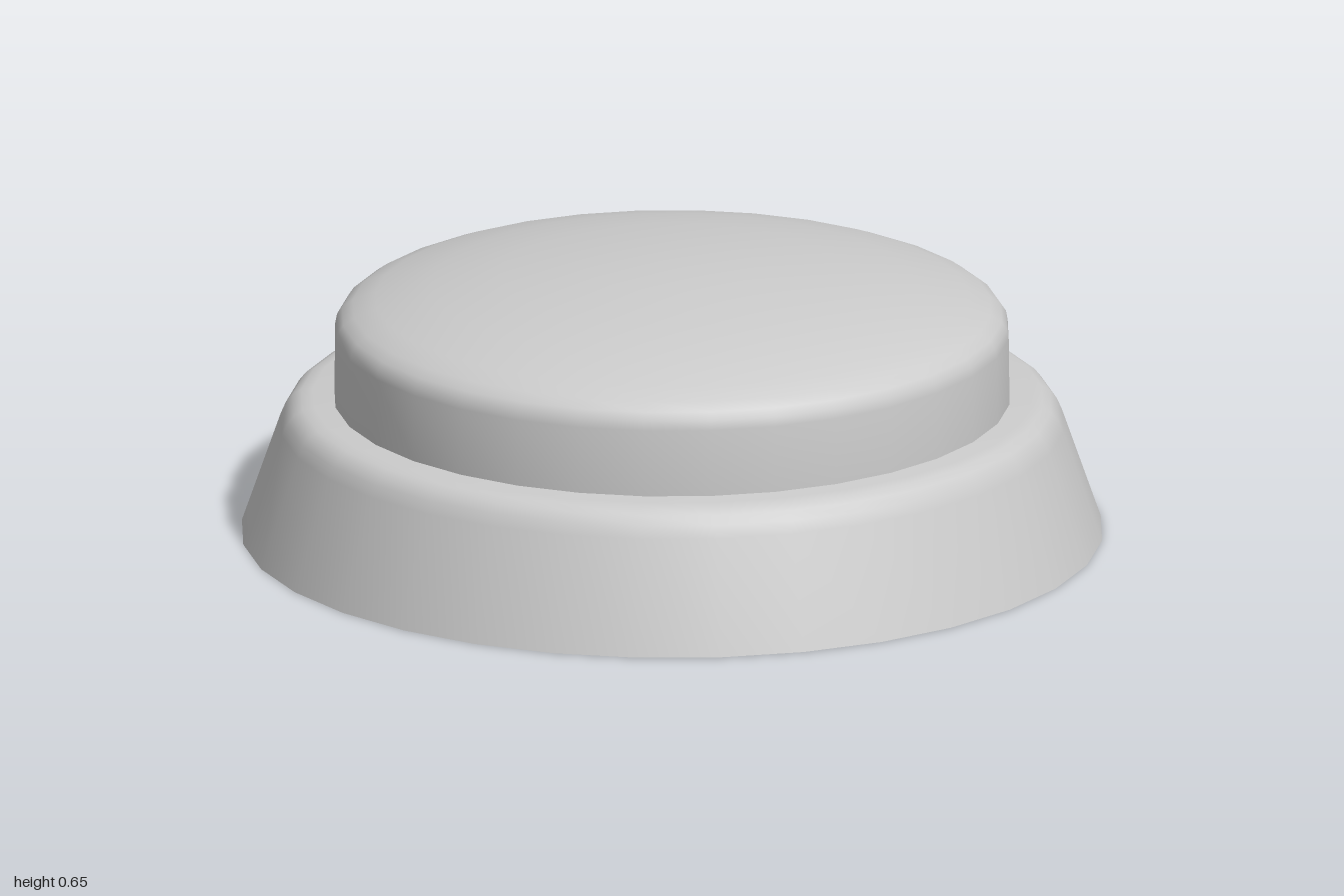
import * as THREE from 'three';
import { toCreasedNormals } from 'three/addons/utils/BufferGeometryUtils.js';

const SEGMENTS = 32;
const material = new THREE.MeshStandardMaterial({ color: 0xcccccc });

// Revolves a [radius, height] profile, listed from bottom to top
function turned(name, profile) {
  const points = profile.map(([r, y]) => new THREE.Vector2(r, y));
  const geometry = toCreasedNormals(new THREE.LatheGeometry(points, SEGMENTS), 0.7);
  const mesh = new THREE.Mesh(geometry, material);
  mesh.name = name;
  return mesh;
}

export function createModel() {
  const group = new THREE.Group();
  group.name = 'pushButton';

  // Tapered housing with a rounded upper rim and closed underside
  group.add(turned('base', [
    [0, 0], [1, 0], [0.91, 0.26], [0.898, 0.288], [0.882, 0.308],
    [0.862, 0.32], [0.835, 0.325], [0, 0.325],
  ]));

  // Plunger cap with a short wall, soft edge and shallow dome
  group.add(turned('buttonCap', [
    [0.785, 0.325], [0.783, 0.483], [0.779, 0.505], [0.767, 0.523],
    [0.742, 0.541], [0.69, 0.562], [0.56, 0.595], [0.4, 0.621],
    [0.2, 0.639], [0, 0.646],
  ]));

  return group;
}
